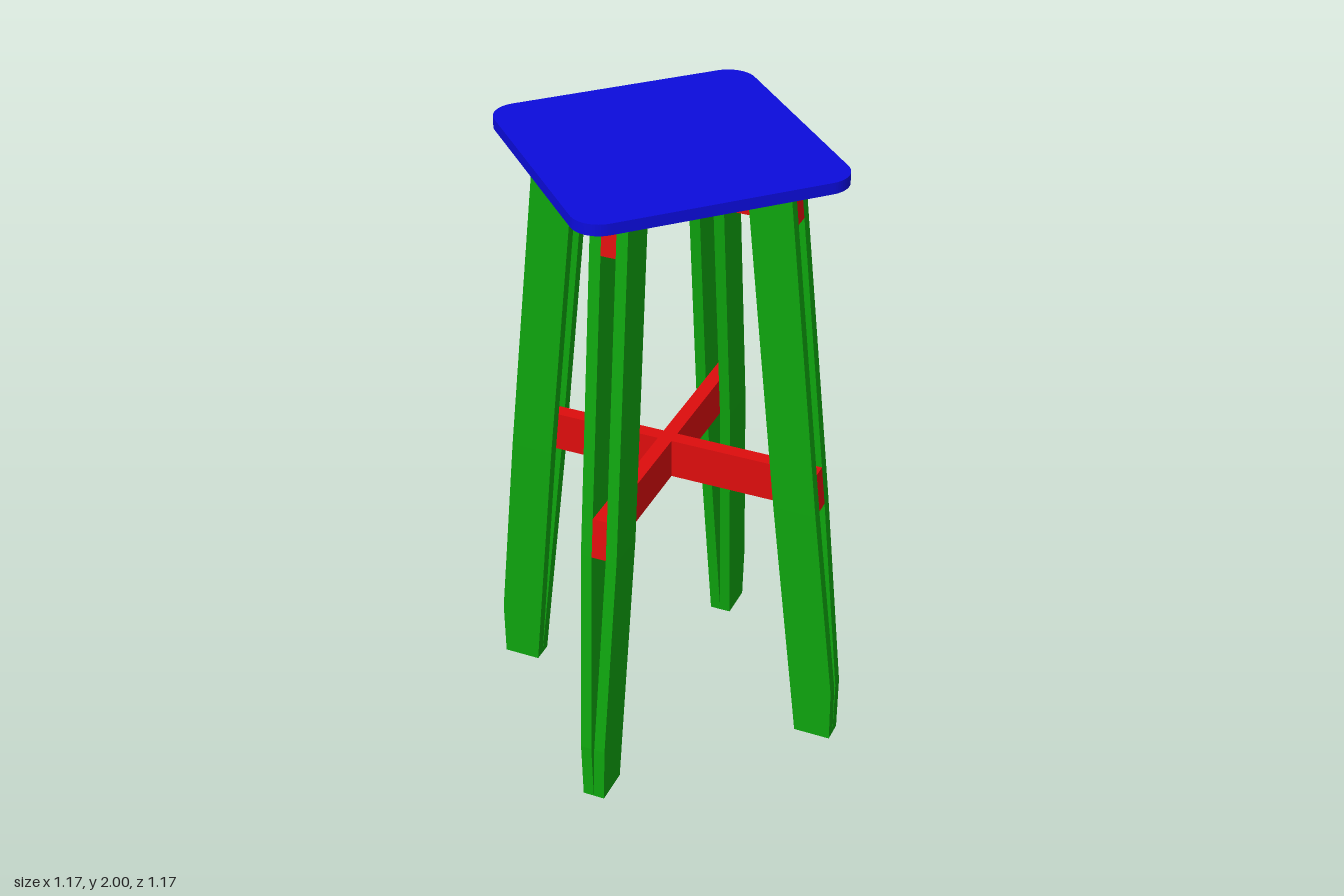
import * as THREE from 'three';

const material = (color) => new THREE.MeshStandardMaterial({ color, flatShading: true });
const red = material(0xdd0d0d);
const green = material(0x0ea50e);
const blue = material(0x0c0cdc);

const SEAT_Y = 1.965; // underside of the seat
const GAP = 0.023;    // half thickness of the rails, half gap between planks
const PLANK = 0.035;  // plank thickness

// Leg levels from foot to seat: [height, inner x, outer x, half gap]
const LEVELS = [
  [0, 0.465, 0.585, 0],
  [0.19, 0.446, 0.585, GAP * 0.19 / 0.87],
  [0.87, 0.377, 0.514, GAP],
  [SEAT_Y, 0.266, 0.4, GAP],
];

// Outer edge of a leg at height y (above the foot)
const outerX = (y) => 0.585 - (0.185 * (y - 0.19)) / (SEAT_Y - 0.19);

// One of the two planks of a leg, bent inwards below the lower rail
function plankGeometry(side) {
  const geometry = new THREE.BoxGeometry(1, 3, 1, 1, 3, 1);
  const p = geometry.attributes.position;
  for (let i = 0; i < p.count; i++) {
    const [y, inner, outer, gap] = LEVELS[Math.round(p.getY(i) + 1.5)];
    const x = p.getX(i) < 0 ? inner : outer;
    p.setXYZ(i, x, y, side * gap + (p.getZ(i) + side * 0.5) * PLANK);
  }
  geometry.computeVertexNormals();
  return geometry;
}

// Rail arm from the centre to the sloping outer edge of a leg
function armGeometry(start, y0, y1) {
  const shape = new THREE.Shape([
    new THREE.Vector2(start, y0),
    new THREE.Vector2(outerX(y0), y0),
    new THREE.Vector2(outerX(y1), y1),
    new THREE.Vector2(start, y1),
  ]);
  return new THREE.ExtrudeGeometry(shape, { depth: 2 * GAP, bevelEnabled: false }).translate(0, 0, -GAP);
}

// Square seat with rounded corners, turned by 45 degrees
function seatGeometry() {
  const h = 0.585 / Math.SQRT2, r = 0.085, c = h - r;
  const shape = new THREE.Shape();
  [[c, c], [-c, c], [-c, -c], [c, -c]].forEach(([x, y], i) => {
    shape.absarc(x, y, r, i * Math.PI / 2, (i + 1) * Math.PI / 2, false);
  });
  shape.closePath();
  return new THREE.ExtrudeGeometry(shape, { depth: 2 - SEAT_Y, bevelEnabled: false, curveSegments: 8 })
    .rotateX(-Math.PI / 2)
    .rotateY(Math.PI / 4)
    .translate(0, SEAT_Y, 0);
}

export function createModel() {
  const model = new THREE.Group();
  model.name = 'stool';

  const add = (parent, name, geometry, mat) => {
    const mesh = new THREE.Mesh(geometry, mat);
    mesh.name = name;
    parent.add(mesh);
  };

  add(model, 'seat', seatGeometry(), blue);

  // Four legs with their rail arms, a quarter turn apart
  ['left', 'back', 'right', 'front'].forEach((where, i) => {
    const quarter = new THREE.Group();
    quarter.name = where + 'Leg';
    quarter.rotation.y = i * Math.PI / 2;
    for (const side of [1, -1]) add(quarter, 'legPlank', plankGeometry(side), green);

    const start = i % 2 ? GAP : 0; // front and back arms butt against the side arms
    add(quarter, 'lowerRail', armGeometry(start, 0.87, 1.0), red);
    add(quarter, 'upperRail', armGeometry(start, 1.83, SEAT_Y), red);
    model.add(quarter);
  });

  return model;
}
